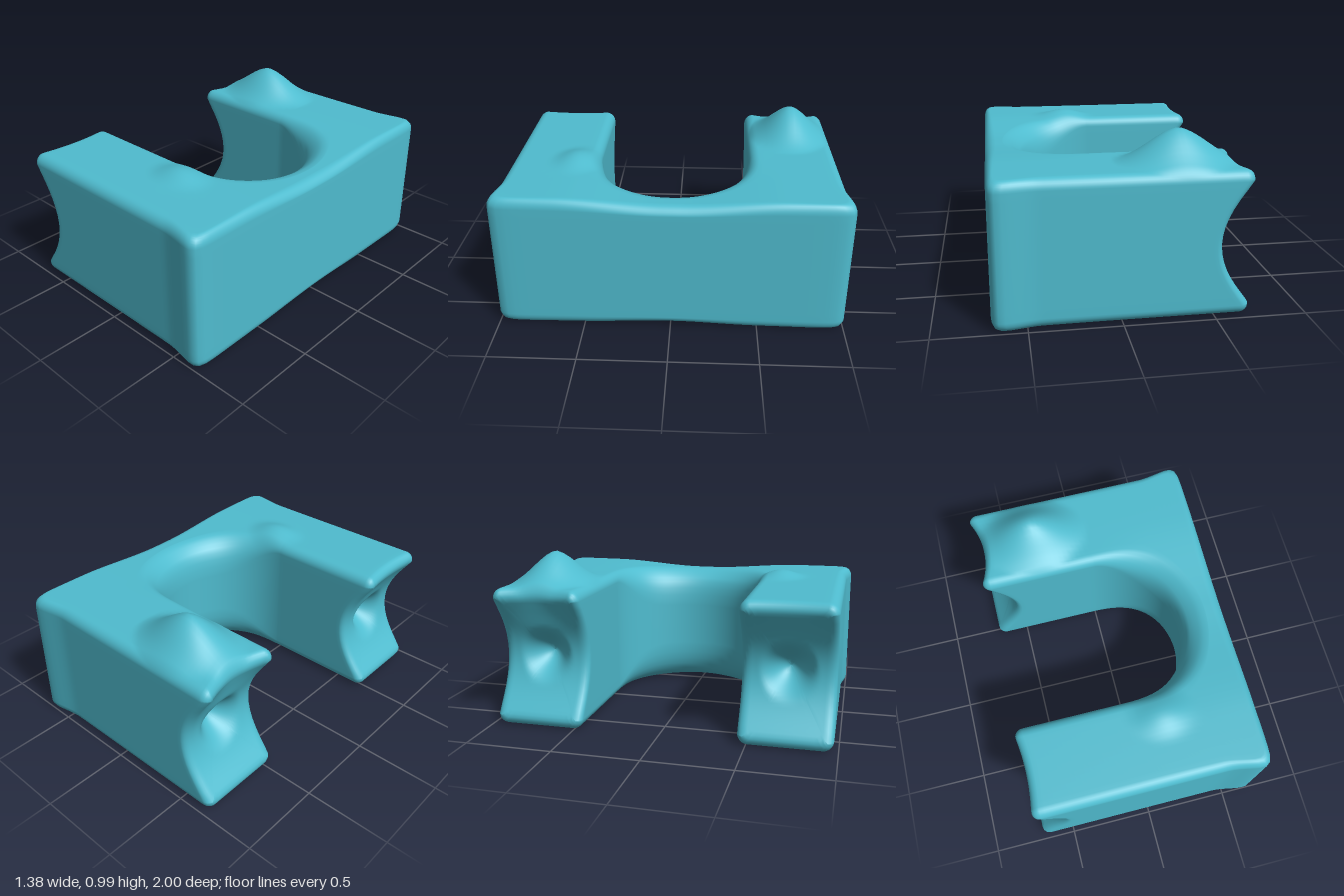
import * as THREE from 'three';

const LENGTH = 0.69, INNER = 0.45, HEIGHT = 0.81, R = 0.06;
const smooth = THREE.MathUtils.smoothstep;

// Rounded-rectangle cross-section of width w, inset by e, as [distance, y] pairs;
// the two edges facing the opening are rounded by rx across and ry upwards
function section({ w, e, rx, ry }) {
  const pts = [], arc = 8;
  const ro = Math.max(R - e, 0.025), ix = Math.max(rx - e, 0.025), iy = Math.max(ry - e, 0.025);
  const corners = [
    [w - e - ro, e + ro, -90, ro, ro], [w - e - ro, HEIGHT - e - ro, 0, ro, ro],
    [e + ix, HEIGHT - e - iy, 90, ix, iy], [e + ix, e + iy, 180, ix, iy]
  ];
  const onArc = ([cx, cy, start, ax, ay], deg) => {
    const a = THREE.MathUtils.degToRad(start + deg);
    return [cx + ax * Math.cos(a), cy + ay * Math.sin(a)];
  };
  corners.forEach((corner, k) => {
    for (let i = 0; i <= arc; i++) pts.push(onArc(corner, 90 * i / arc));
    // subdivide the straight side up to the next corner
    const last = onArc(corner, 90), next = onArc(corners[(k + 1) % 4], 0);
    for (let i = 1; i < 14; i++) {
      const t = i / 14;
      pts.push([last[0] + (next[0] - last[0]) * t, last[1] + (next[1] - last[1]) * t]);
    }
  });
  return pts;
}

// Rounded hill, from a soft bump (point = 0) to a cone (point = 1)
function hill(x, z, cx, cz, rx, rz, h, point) {
  const d = Math.min(1, Math.hypot((x - cx) / rx, (z - cz) / rz));
  const cone = 1.04 - Math.sqrt(d * d * 1.08 + 0.0016);
  return h * ((1 - point) * (0.5 + 0.5 * Math.cos(Math.PI * d)) + point * Math.max(0, cone));
}

// Hollow of the leg ends, as a function of height
function notch(y) {
  return 0.16 * Math.pow(Math.max(0, 1 - ((y - 0.405) / 0.345) ** 2), 1.15);
}

// Uneven top and slightly arched underside
function relief(x, y, z) {
  const bend = smooth(x, 0, 0.4);
  const sag = 0.032 * bend * (1 - smooth(Math.abs(z), 0.05, 0.65));
  const arch = 0.014 * bend * (1 - smooth(Math.abs(z), 0, 0.5));
  const top = hill(x, z, -0.33, -0.72, 0.34, 0.25, 0.18, 0.45)
    + hill(x, z, 0.15, 0.58, 0.22, 0.17, 0.04, 0) - sag;
  return y + top * smooth(y, 0.68, 0.79) + arch * (1 - smooth(y, 0, 0.1));
}

// Stations of half the U, from the leg end to the middle of the bend
function halfStations() {
  const list = [], leg = { leg: true, w: 0.525, rx: R, ry: R, e: 0, c: 1 };
  for (let i = 0; i < 18; i++) list.push({ ...leg, s: -LENGTH, e: R * 0.8, c: i / 18 });
  for (let i = 0; i <= 5; i++) {
    const a = Math.PI / 2 * (1 - i / 5);
    list.push({ ...leg, s: -LENGTH + R * 0.8 * (1 - Math.sin(a)), e: R * 0.8 * (1 - Math.cos(a)) });
  }
  for (let i = 1; i < 22; i++) list.push({ ...leg, s: (-LENGTH + R * 0.8) * (1 - i / 22) });
  for (let i = 0; i <= 60; i++) {
    const a = Math.PI / 2 * (1 - i / 60), cos = Math.cos(a), sin = Math.sin(a);
    const inner = INNER - 0.015 * cos;
    const zMax = 0.975 + 0.035 * smooth(cos / Math.max(sin, 0.01), 0.44, 0.68);
    const outer = Math.pow((cos / LENGTH) ** 28 + (sin / zMax) ** 28, -1 / 28);
    const bend = smooth(cos, 0, 0.9);
    list.push({
      leg: false, cos, sin, inner, w: outer - inner, e: 0, c: 1,
      rx: R + 0.085 * bend, ry: R + 0.19 * bend
    });
  }
  return list;
}

// One ring of points for a station on the given side
function ring(st, side) {
  const half = st.w / 2;
  return section(st).map(([d0, y0]) => {
    const d = half + (d0 - half) * st.c;
    const y = 0.4 + (y0 - 0.4) * st.c;
    let x, z;
    if (st.leg) {
      x = st.s * (1 - notch(y) / LENGTH);
      z = side * (INNER + d);
      // top edge of the end curves inwards
      const curve = Math.max(0, 1 - ((d - half) / 0.22) ** 2);
      x += (side < 0 ? 0.055 : 0.02) * curve * smooth(y, 0.55, 0.8) * smooth(-st.s, 0.45, LENGTH);
      // round dimple in the end face
      if (st.c < 1) x += hill(d, y, half, 0.4, 0.17, 0.18, 0.12, 0);
    } else {
      x = (st.inner + d) * st.cos;
      z = side * (st.inner + d) * st.sin;
    }
    return [x, relief(x, y, z), z];
  });
}

function blockGeometry() {
  const half = halfStations();
  const rings = half.map(st => ring(st, 1));
  rings.push(...half.slice(0, -1).reverse().map(st => ring(st, -1)));
  const n = rings[0].length, index = [];
  for (let i = 0; i < rings.length - 1; i++) {
    for (let j = 0; j < n; j++) {
      const a = i * n + j, b = i * n + (j + 1) % n;
      index.push(a, a + n, b, b, a + n, b + n);
    }
  }
  const geometry = new THREE.BufferGeometry();
  geometry.setAttribute('position', new THREE.Float32BufferAttribute(rings.flat(2), 3));
  geometry.setIndex(index);
  geometry.computeVertexNormals();
  return geometry;
}

export function createModel() {
  const teal = new THREE.MeshStandardMaterial({ color: 0x4fbccf });
  teal.name = 'teal';
  const model = new THREE.Group();
  model.name = 'horseshoeBlock';
  const block = new THREE.Mesh(blockGeometry(), teal);
  block.name = 'block';
  model.add(block);
  return model;
}
